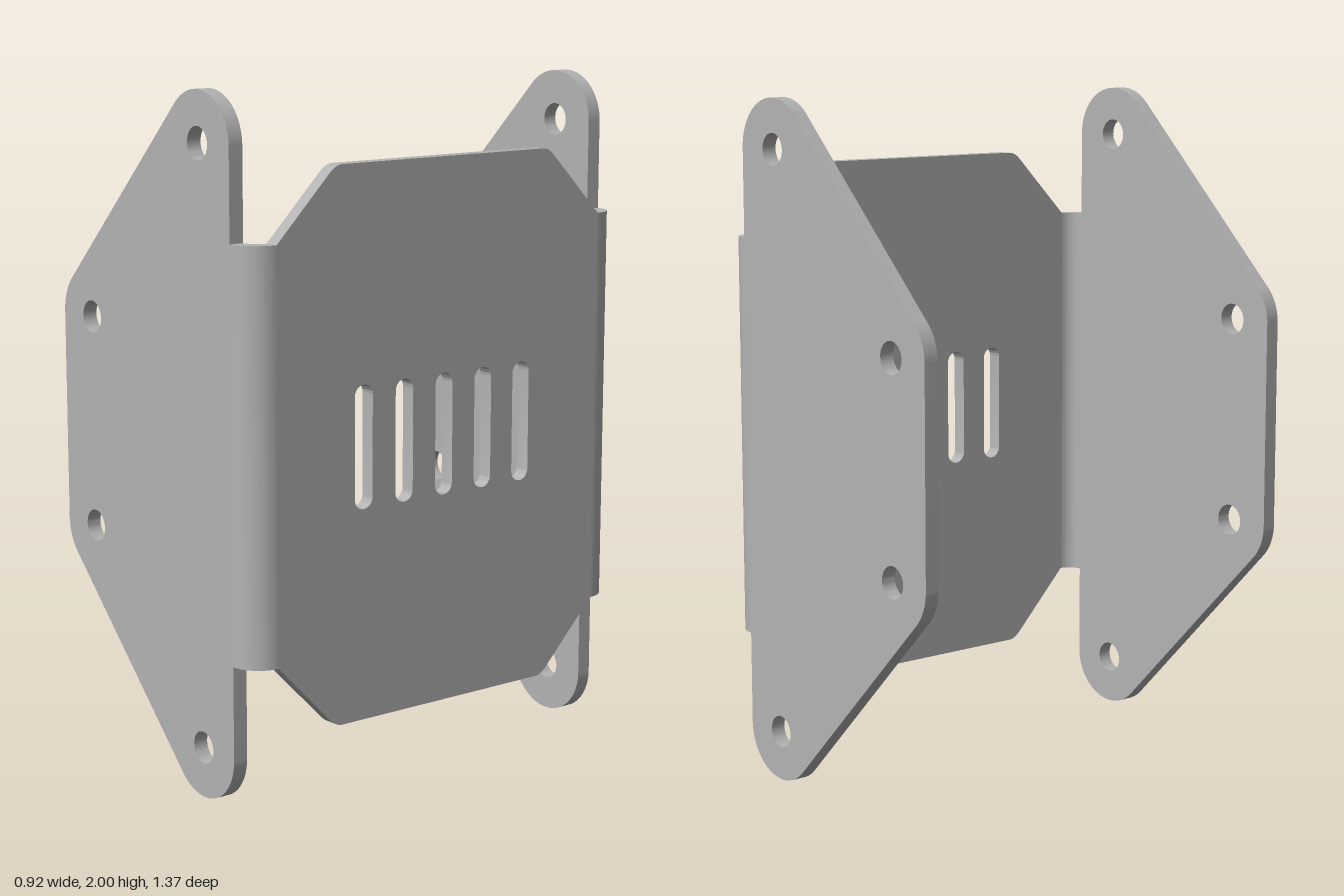
import * as THREE from 'three';
import { toCreasedNormals } from 'three/addons/utils/BufferGeometryUtils.js';

const T = 0.045;            // sheet thickness
const OUT_X = 0.459;        // outer face of the web
const OUT_Z = 0.683;        // outer face of the side plates
const R = 0.089;            // outer bend radius
const BEND_X = OUT_X - R, BEND_Z = OUT_Z - R;
const Y0 = 0.418, Y1 = 1.594; // extent of the folded edge

export function createModel() {
  const group = new THREE.Group();
  const steel = new THREE.MeshStandardMaterial({ color: 0xb3b3b3 });

  const extrude = (shape, depth) =>
    new THREE.ExtrudeGeometry(shape, { depth, bevelEnabled: false, curveSegments: 16 });
  const add = (name, geometry) => {
    const mesh = new THREE.Mesh(toCreasedNormals(geometry, 0.5), steel);
    mesh.name = name;
    group.add(mesh);
  };

  // Side plate: rounded corners concentric with the four bolt holes
  const r = 0.146, hx = 0.222, lx = -0.316;
  const top = 1.854, bottom = 0.146, upper = 1.314, lower = 0.69;
  const side = new THREE.Shape();
  const q = Math.PI / 4;
  side.moveTo(BEND_X, Y0);
  side.lineTo(BEND_X, Y1);
  side.lineTo(hx + r, Y1);
  side.absarc(hx, top, r, 0, 3 * q, false);
  side.absarc(lx, upper, r, 3 * q, 4 * q, false);
  side.absarc(lx, lower, r, 4 * q, 5 * q, false);
  side.absarc(hx, bottom, r, 5 * q, 8 * q, false);
  side.lineTo(hx + r, Y0);
  side.closePath();
  for (const [x, y] of [[hx, top], [lx, upper], [lx, lower], [hx, bottom]]) {
    side.holes.push(new THREE.Path().absarc(x, y, 0.047, 0, Math.PI * 2, true));
  }
  add('frontSidePlate', extrude(side, T).translate(0, 0, OUT_Z - T));
  add('backSidePlate', extrude(side, T).translate(0, 0, -OUT_Z));

  // Web plate with chamfered tabs, slightly rounded at the outer corners
  const web = new THREE.Shape();
  const yTop = 1.797, yBot = 0.211, c = 0.392, e = 0.022;
  web.moveTo(-BEND_Z, Y0);
  web.lineTo(-c - e, yBot + e);
  web.quadraticCurveTo(-c, yBot, -c + e, yBot);
  web.lineTo(c - e, yBot);
  web.quadraticCurveTo(c, yBot, c + e, yBot + e);
  web.lineTo(BEND_Z, Y0);
  web.lineTo(BEND_Z, Y1);
  web.lineTo(c + e, yTop - e);
  web.quadraticCurveTo(c, yTop, c - e, yTop);
  web.lineTo(-c + e, yTop);
  web.quadraticCurveTo(-c, yTop, -c - e, yTop - e);
  web.lineTo(-BEND_Z, Y1);
  web.closePath();
  // Five vent slots
  const w = 0.032;
  for (let i = -2; i <= 2; i++) {
    const slot = new THREE.Path();
    slot.absarc(i * 0.147, 1.181 - w, w, Math.PI, 0, true);
    slot.absarc(i * 0.147, 0.826 + w, w, 0, -Math.PI, true);
    slot.closePath();
    web.holes.push(slot);
  }
  add('webPlate', extrude(web, T).rotateY(Math.PI / 2).translate(OUT_X - T, 0, 0));

  // Quarter-round bends joining the web to each side plate
  for (const s of [1, -1]) {
    const bend = new THREE.Shape();
    bend.absarc(BEND_X, s * BEND_Z, R, 0, s * Math.PI / 2, s < 0);
    bend.absarc(BEND_X, s * BEND_Z, R - T, s * Math.PI / 2, 0, s > 0);
    bend.closePath();
    add(s > 0 ? 'backBend' : 'frontBend',
      extrude(bend, Y1 - Y0).rotateX(-Math.PI / 2).translate(0, Y0, 0));
  }
  return group;
}
